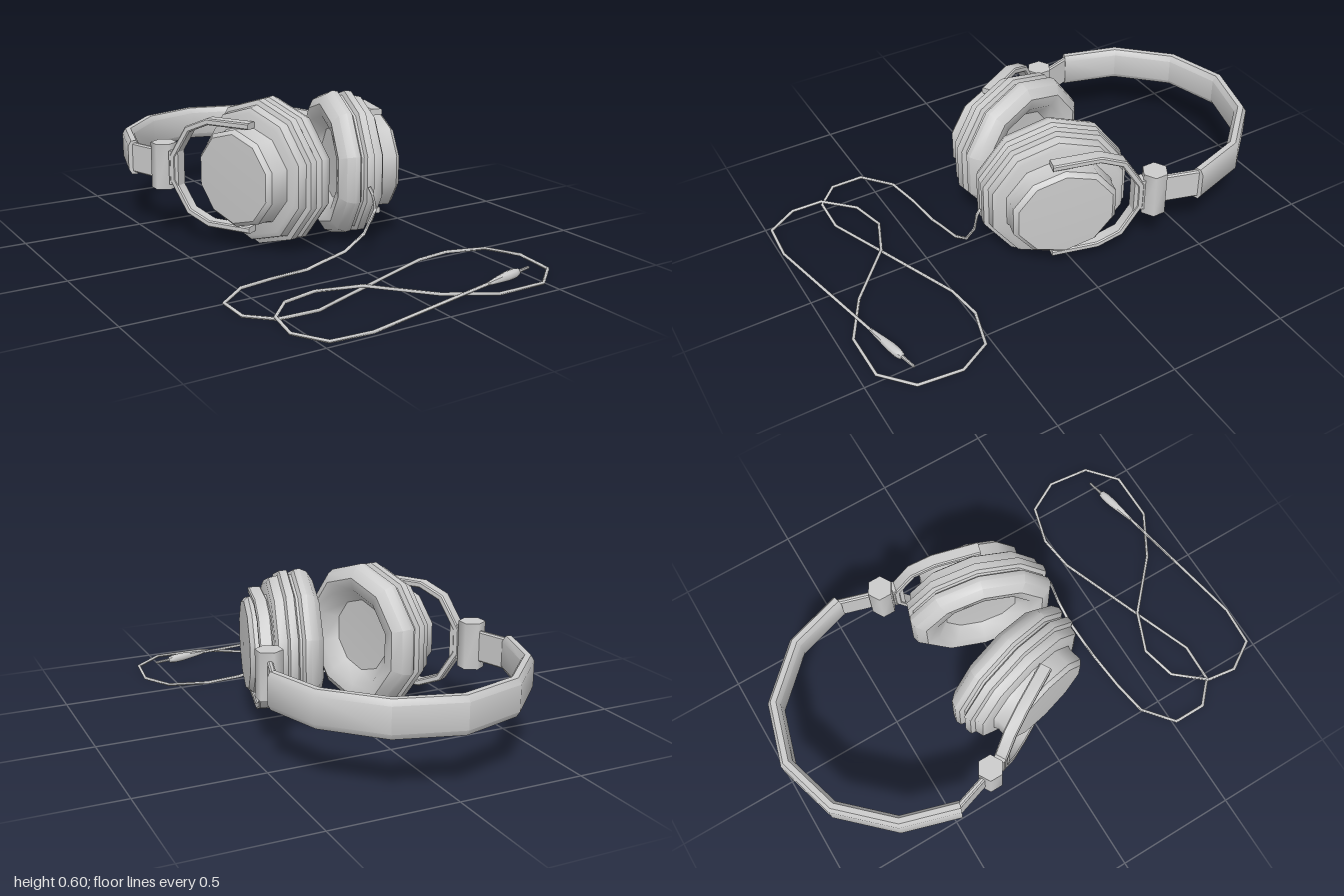
import * as THREE from 'three';
import { toCreasedNormals } from 'three/addons/utils/BufferGeometryUtils.js';

const V = (x, y, z) => new THREE.Vector3(x, y, z);
const MID = 0.302; // height of the headband's centre line

export function createModel() {
  const model = new THREE.Group();
  const mat = new THREE.MeshStandardMaterial({ color: 0xcccccc });

  function add(name, geo, parent = model, crease = 0.7) {
    const mesh = new THREE.Mesh(toCreasedNormals(geo, crease), mat);
    mesh.name = name;
    parent.add(mesh);
    return mesh;
  }

  // Turned shape around the x axis; profile is [distance along x, radius]
  function turned(profile, sides) {
    const pts = profile.map(([a, r]) => new THREE.Vector2(r, a));
    return new THREE.LatheGeometry(pts, sides, Math.PI / 2).rotateZ(-Math.PI / 2);
  }

  // Section [n, b] swept along a mitred polyline, with capped ends
  function sweep(path, section, up) {
    const pos = [], idx = [], m = section.length, last = path.length - 1;
    path.forEach((p, i) => {
      const t0 = path[Math.max(i, 1)].clone().sub(path[Math.max(i, 1) - 1]).normalize();
      const k = Math.min(i, last - 1);
      const t1 = path[k + 1].clone().sub(path[k]).normalize();
      const t = t0.clone().add(t1).normalize();
      const miter = 1 / Math.max(t.dot(t1), 0.75);
      const n = t.clone().cross(up).normalize();
      const b = t.clone().cross(n);
      for (const [u, v] of section) {
        pos.push(...p.clone().addScaledVector(n, u * miter).addScaledVector(b, v).toArray());
      }
    });
    for (let i = 0; i < last; i++) {
      for (let j = 0; j < m; j++) {
        const a = i * m + j, b = i * m + (j + 1) % m;
        idx.push(a, b, b + m, a, b + m, a + m);
      }
    }
    for (let j = 1; j < m - 1; j++) {
      idx.push(0, j + 1, j, last * m, last * m + j, last * m + j + 1);
    }
    const geo = new THREE.BufferGeometry();
    geo.setAttribute('position', new THREE.Float32BufferAttribute(pos, 3));
    geo.setIndex(idx);
    return geo;
  }

  // Rectangle with cut corners, counter-clockwise
  const bevelled = (w, h, c) => [
    [w, -h + c], [w, h - c], [w - c, h], [-w + c, h],
    [-w, h - c], [-w, -h + c], [-w + c, -h], [w - c, -h]];

  // Padded headband
  const half = [[-0.493, -0.48], [-0.423, -0.71], [-0.24, -0.9]];
  const arc = [...half.map(([x, z]) => V(x, MID, z)), V(0, MID, -0.97),
    ...half.slice().reverse().map(([x, z]) => V(-x, MID, z))];
  arc.forEach(p => { p.x -= 0.027; });
  add('headband', sweep(arc, [
    [0.024, -0.05], [0.024, 0.05], [0.01, 0.072], [-0.012, 0.072],
    [-0.025, 0.05], [-0.025, -0.05], [-0.012, -0.072], [0.01, -0.072]], V(0, 1, 0)));

  // Ear cup profiles: recessed cushion with stacked rings, then the outer shell
  const cushion = [[0.06, 0], [0.055, 0.15], [0.005, 0.2], [-0.004, 0.25], [0.02, 0.288],
    [0.05, 0.302], [0.072, 0.298], [0.082, 0.28], [0.092, 0.28], [0.1, 0.298],
    [0.13, 0.296], [0.137, 0.277], [0.172, 0.27], [0.182, 0.25], [0.182, 0]];
  const shell = [[0.175, 0.205], [0.2, 0.197], [0.255, 0.197], [0.272, 0.18], [0.278, 0]];

  // Fork arm in its own frame: tips at z = 0, running backwards
  const arm = [[0.21, 0], [0.21, 0.19], [0.17, 0.285], [0.09, 0.335], [0.05, 0.36]];
  const fork = [...arm.map(([y, s]) => V(0, y, -s)),
    ...arm.slice().reverse().map(([y, s]) => V(0, -y, -s))];

  const sides = [
    { name: 'left', cup: [0.1, 0], turn: -0.25, tip: [0.305, 0.1], swing: -0.25,
      joint: [0.41, -0.31], end: [0.467, -0.5] },
    { name: 'right', cup: [-0.063, -0.032], turn: Math.PI + 0.25, tip: [-0.255, 0.062], swing: 0.53,
      joint: [-0.46, -0.31], end: [-0.521, -0.5] }];

  for (const s of sides) {
    const cup = new THREE.Group();
    cup.name = s.name + 'EarCup';
    cup.position.set(s.cup[0], 0.301, s.cup[1]);
    cup.rotation.y = s.turn;
    add('earCushion', turned(cushion, 10), cup).scale.z = 1.03;
    add('earShell', turned(shell, 10), cup).scale.z = 1.1;
    model.add(cup);

    // Fork holding the cup, with its hub
    const yoke = new THREE.Group();
    yoke.name = s.name + 'Yoke';
    yoke.position.set(s.tip[0], MID, s.tip[1]);
    yoke.rotation.y = s.swing;
    add('yokeFork', sweep(fork, bevelled(0.013, 0.026, 0.005), V(1, 0, 0)), yoke);
    add('yokeHub', new THREE.BoxGeometry(0.046, 0.14, 0.045).translate(0, 0, -0.355), yoke);
    model.add(yoke);

    // Hinge barrel and the slider into the headband
    const [jx, jz] = s.joint;
    add(s.name + 'Hinge', new THREE.CylinderGeometry(0.053, 0.053, 0.19, 6)
      .translate(jx, MID, jz), model, 1.2);
    add(s.name + 'Slider', sweep([V(jx, MID, jz), V(s.end[0], MID, s.end[1])],
      bevelled(0.011, 0.063, 0.006), V(0, 1, 0)));
  }

  // Cable: drops from the left cup, then loops over the ground
  const drop = [[0.13, 0.27, 0.315], [0.132, 0.25, 0.332], [0.137, 0.19, 0.348], [0.08, 0.1, 0.356],
    [-0.01, 0.045, 0.36], [-0.13, 0.022, 0.369]].map(p => V(...p));
  const ground = [[-0.19, 0.375], [-0.35, 0.39], [-0.495, 0.415], [-0.615, 0.515], [-0.615, 0.65],
    [-0.525, 0.735], [-0.365, 0.74], [-0.125, 0.645], [0.235, 0.505], [0.385, 0.485],
    [0.545, 0.53], [0.615, 0.66], [0.595, 0.835], [0.475, 0.94], [0.27, 0.94], [0.085, 0.835],
    [-0.12, 0.645], [-0.285, 0.58], [-0.43, 0.615], [-0.535, 0.735], [-0.55, 0.86],
    [-0.475, 0.98], [-0.31, 0.99], [0.27, 0.87]];
  const crossing = { 16: 0.019, 19: 0.019, 23: 0.022 };
  const round = Array.from({ length: 6 }, (_, i) =>
    [0.0065 * Math.cos(i * Math.PI / 3), 0.0065 * Math.sin(i * Math.PI / 3)]);
  const run = ground.map(([x, z], i) => V(x, crossing[i] ?? 0.009, z));
  add('cable', sweep([...drop, ...run], round, V(0, 1, 0)), model, 1.2);

  // Plug with its pin
  const plug = add('plug', turned([[0, 0], [0, 0.007], [0.06, 0.013], [0.12, 0.019], [0.16, 0.019],
    [0.185, 0.014], [0.19, 0.007], [0.255, 0.006], [0.262, 0]], 8), model, 0.9);
  plug.position.set(0.27, 0.022, 0.87);
  plug.rotation.y = 0.23;

  return model;
}
